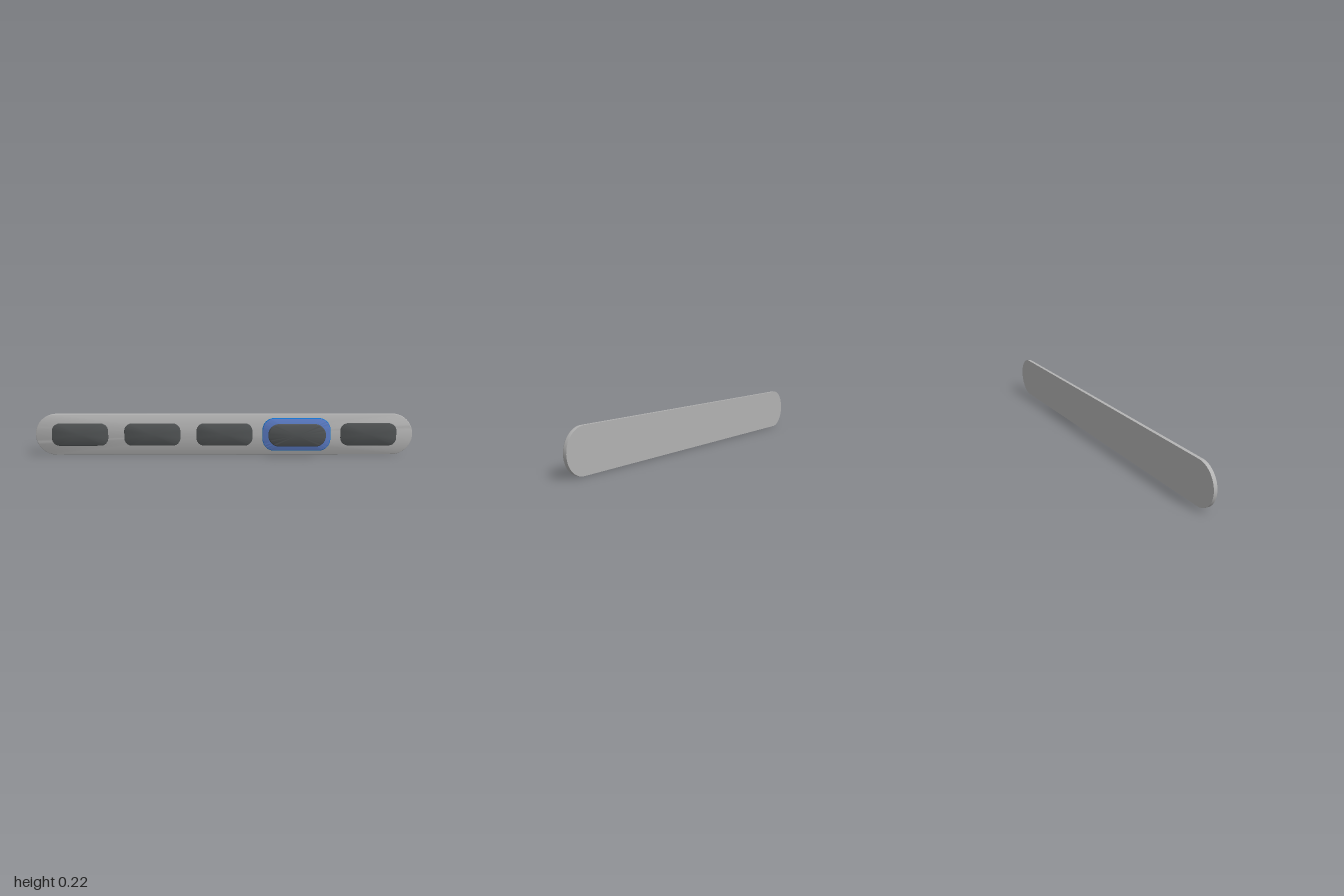
import * as THREE from 'three';
import { toCreasedNormals } from 'three/addons/utils/BufferGeometryUtils.js';

const material = (name, color) => {
  const m = new THREE.MeshStandardMaterial({ color });
  m.name = name;
  return m;
};

// Counter-clockwise outline of a rounded rectangle centred on the origin
function outline(w, h, r, steps = 12) {
  const points = [];
  for (let corner = 0; corner < 4; corner++) {
    const cx = (corner === 0 || corner === 3 ? 1 : -1) * (w / 2 - r);
    const cy = (corner < 2 ? 1 : -1) * (h / 2 - r);
    for (let i = 0; i <= steps; i++) {
      const a = (corner + i / steps) * Math.PI / 2;
      points.push([cx + r * Math.cos(a), cy + r * Math.sin(a)]);
    }
  }
  return points;
}

// Rounded slab with a flat, sharp back and a filleted front edge
function slab(w, h, r, back, front, fillet) {
  const rings = [{ inset: 0, z: back }];
  for (let i = 0; i <= 4; i++) {
    const a = i / 4 * Math.PI / 2;
    rings.push({ inset: fillet * (1 - Math.cos(a)), z: front - fillet * (1 - Math.sin(a)) });
  }
  const loops = rings.map(({ inset, z }) =>
    outline(w - 2 * inset, h - 2 * inset, r - inset).map(([x, y]) => [x, y, z]));
  const n = loops[0].length;
  const pos = [];
  const tri = (a, b, c) => pos.push(...a, ...b, ...c);
  for (let k = 0; k < loops.length - 1; k++) {
    for (let i = 0; i < n; i++) {
      const j = (i + 1) % n;
      tri(loops[k][i], loops[k][j], loops[k + 1][j]);
      tri(loops[k][i], loops[k + 1][j], loops[k + 1][i]);
    }
  }
  for (let i = 0; i < n; i++) tri([0, 0, back], loops[0][(i + 1) % n], loops[0][i]);
  const split = pos.length / 3;
  const last = loops[loops.length - 1];
  for (let i = 0; i < n; i++) tri([0, 0, front], last[i], last[(i + 1) % n]);
  const geometry = new THREE.BufferGeometry();
  geometry.setAttribute('position', new THREE.Float32BufferAttribute(pos, 3));
  const result = toCreasedNormals(geometry, 0.6);
  // Group 0: sides and back, group 1: front face
  result.clearGroups();
  result.addGroup(0, split, 0);
  result.addGroup(split, n * 3, 1);
  return result;
}

export function createModel() {
  const grey = material('bar grey', 0xb3b3b3);
  const dark = material('button charcoal', 0x505354);
  const blueSide = material('highlight edge blue', 0x1273d2);
  const blueFace = material('highlight face blue', 0x5b7cc6);
  const model = new THREE.Group();
  model.name = 'buttonBar';
  const midY = 0.109;

  const add = (name, geometry, side, face, x) => {
    const mesh = new THREE.Mesh(geometry, [side, face]);
    mesh.name = name;
    mesh.position.set(x, midY, 0);
    model.add(mesh);
  };

  // Long base plate with fully round ends
  add('basePlate', slab(2, 0.218, 0.109, -0.037, -0.016, 0.005), grey, grey, 0);

  // Four resting buttons; the gap holds the highlighted one
  const button = slab(0.296, 0.118, 0.04, -0.018, -0.005, 0.003);
  [-0.764, -0.382, 0, 0.764].forEach((x, i) => add(`button${i + 1}`, button, dark, dark, x));

  // Highlight plate and the raised button floating before it
  add('highlightPlate', slab(0.36, 0.174, 0.062, -0.018, -0.005, 0.003), blueSide, blueFace, 0.382);
  add('raisedButton', slab(0.302, 0.118, 0.057, 0.017, 0.037, 0.006), dark, dark, 0.382);

  return model;
}
